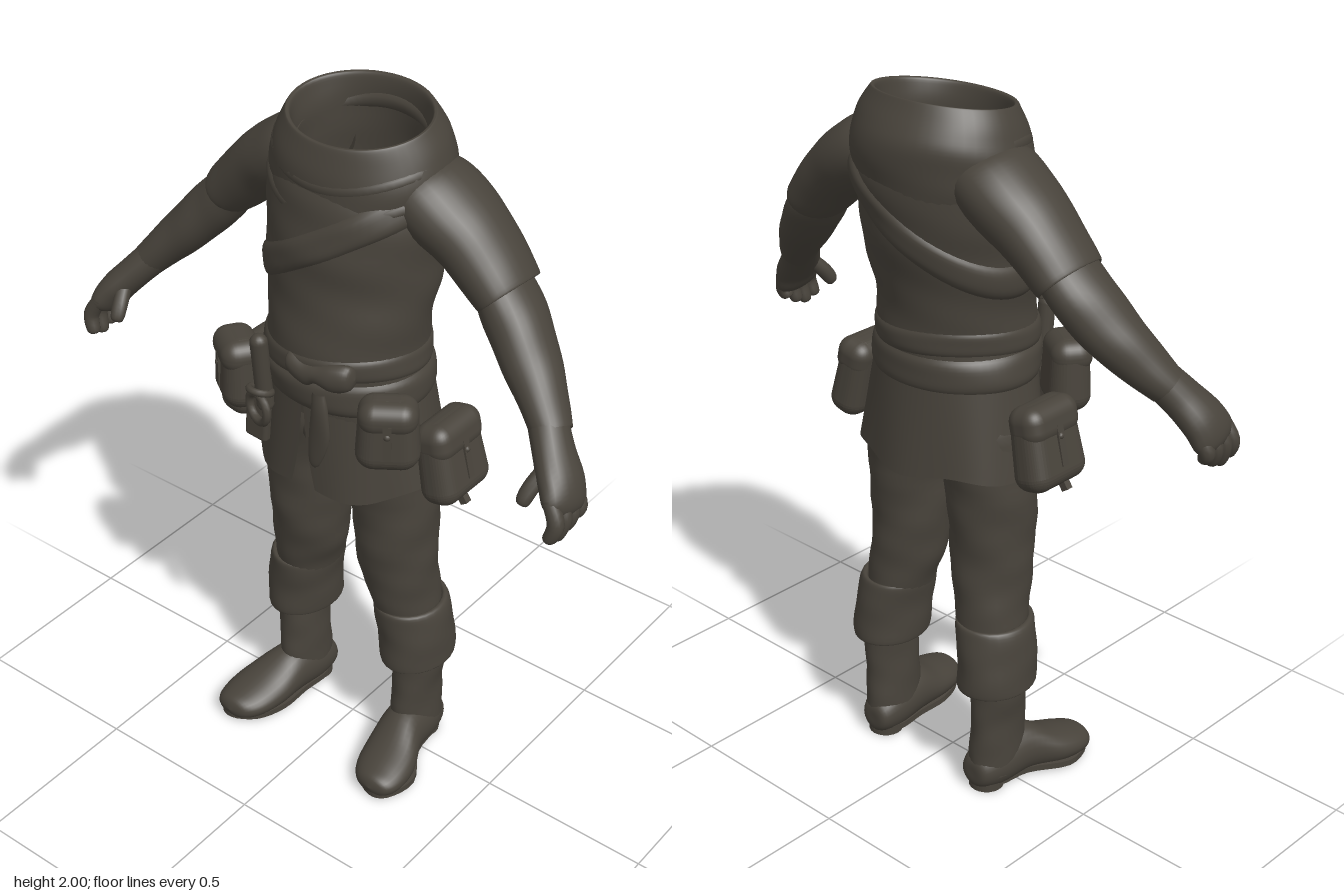
import * as THREE from 'three';
import { RoundedBoxGeometry } from 'three/addons/geometries/RoundedBoxGeometry.js';

const V = (x, y, z) => new THREE.Vector3(x, y, z);
const UP = V(0, 1, 0), X = V(1, 0, 0), Z = V(0, 0, 1);

export function createModel() {
  const model = new THREE.Group();
  const cloth = new THREE.MeshStandardMaterial({ color: 0x48433b, side: THREE.DoubleSide });
  cloth.name = 'dark brown cloth';

  const add = (name, geometry) => {
    const mesh = new THREE.Mesh(geometry, cloth);
    mesh.name = name;
    model.add(mesh);
  };

  // Adds a part and its mirror image across x = 0
  const addPair = (name, geometry) => {
    add('left ' + name, geometry);
    const g = geometry.clone().scale(-1, 1, 1);
    const idx = g.index ? g.index.array : null;
    if (idx) for (let i = 0; i < idx.length; i += 3) [idx[i], idx[i + 1]] = [idx[i + 1], idx[i]];
    else for (const a of Object.values(g.attributes)) {
      const s = a.itemSize, d = a.array;
      for (let i = 0; i < d.length; i += 3 * s) {
        for (let k = 0; k < s; k++) [d[i + k], d[i + s + k]] = [d[i + s + k], d[i + k]];
      }
    }
    add('right ' + name, g);
  };

  // Grid surface: u runs around (0..1), v runs along (0..1)
  function surface(f, nu, nv, closed = true) {
    const pos = [], index = [], cols = closed ? nu : nu + 1;
    for (let j = 0; j <= nv; j++) for (let i = 0; i < cols; i++) pos.push(...f(i / nu, j / nv).toArray());
    for (let j = 0; j < nv; j++) for (let i = 0; i < nu; i++) {
      const a = j * cols + i, b = j * cols + (i + 1) % cols;
      index.push(a, a + cols, b, b, a + cols, b + cols);
    }
    const g = new THREE.BufferGeometry();
    g.setAttribute('position', new THREE.Float32BufferAttribute(pos, 3));
    g.setIndex(index);
    g.computeVertexNormals();
    return g;
  }

  // Smooth interpolation of a list of section rows
  function sample(rows, t) {
    const n = rows.length - 1, s = Math.min(t * n, n - 1e-6), i = Math.floor(s), f = s - i;
    const r = k => rows[Math.max(0, Math.min(n, k))];
    return rows[0].map((_, c) => {
      const [a, b, d, e] = [r(i - 1)[c], r(i)[c], r(i + 1)[c], r(i + 2)[c]];
      return b + 0.5 * f * (d - a + f * (2 * a - 5 * b + 4 * d - e + f * (3 * (b - d) + e - a)));
    });
  }

  // Loft through ellipses [x, y, z, a, b]; wrinkle folds the cloth
  function loft(rows, { axis = null, ref = Z, n = 28, steps = 6, wrinkle = 0, floor = -1 } = {}) {
    return surface((u, v) => {
      const [x, y, z, a, b] = sample(rows, v), th = u * Math.PI * 2;
      const p = sample(rows, Math.max(0, v - 0.02)), q = sample(rows, Math.min(1, v + 0.02));
      const t = axis ? axis.clone() : V(q[0] - p[0], q[1] - p[1], q[2] - p[2]);
      t.normalize();
      const e1 = t.clone().cross(ref).normalize(), e2 = e1.clone().cross(t);
      const w = 1 + wrinkle * (Math.sin(3 * th + 34 * (y + x * 0.6)) + 0.6 * Math.sin(2 * th - 61 * y + 1));
      const o = V(x, y, z).addScaledVector(e1, Math.max(0, a) * w * Math.cos(th))
        .addScaledVector(e2, Math.max(0, b) * w * Math.sin(th));
      o.y = Math.max(o.y, floor);
      return o;
    }, n, (rows.length - 1) * steps);
  }

  // Tunic body; the same surface carries the belt and the strap
  const body = [[1.2, 0.232, 0.012, 0.2], [1.32, 0.222, 0.018, 0.203], [1.44, 0.222, 0.012, 0.2],
    [1.56, 0.236, -0.008, 0.205], [1.68, 0.246, -0.02, 0.213], [1.8, 0.24, -0.035, 0.212], [1.92, 0.18, -0.03, 0.16]];
  const onBody = (y, th, off = 0) => {
    const [, rx, cz, rz] = sample(body, (y - 1.2) / 0.72);
    const w = 1 + 0.009 * Math.sin(2 * th + 26 * y) + 0.007 * Math.sin(3 * th - 47 * y);
    return V((rx * w + off) * Math.cos(th), y, cz + (rz * w + off) * Math.sin(th));
  };
  add('tunic body', surface((u, v) => onBody(1.2 + 0.68 * v, u * Math.PI * 2), 56, 40));

  // Band lying on the tunic around a centre line y(th)
  const band = (yOf, half, off) => surface((u, v) => {
    const th = u * Math.PI * 2, s = 2 * v - 1;
    return onBody(yOf(th) + s * half, th, off * (1 - s ** 4) - 0.003);
  }, 64, 10);
  add('belt', band(() => 1.27, 0.05, 0.014));
  add('waist fold', band(th => 1.35 + 0.01 * Math.sin(th * 2), 0.035, 0.009));
  add('shoulder strap', band(th => 1.675 + 0.15 * Math.cos(th), 0.05, 0.014));

  // Skirt of the tunic, split at the front
  add('tunic skirt', surface((u, v) => {
    const k = 1 - v, gap = 0.015 + 0.13 * k * k;
    const th = Math.PI / 2 + gap + u * (Math.PI * 2 - 2 * gap);
    const w = 1 + 0.02 * k * Math.sin(7 * th);
    const hem = 0.985 - 0.025 * Math.max(0, Math.sin(th)) + 0.01 * Math.sin(5 * th);
    return V((0.23 + 0.047 * k) * w * Math.cos(th), hem + (1.26 - hem) * v, 0.012 - 0.01 * k + (0.2 + 0.017 * k) * w * Math.sin(th));
  }, 64, 12, false));

  // Cowl: outer drape, thin rim and hollow inside
  add('cowl', loft([[0, 1.67, -0.034, 0.225, 0.202], [0, 1.77, -0.04, 0.243, 0.213], [0, 1.85, -0.042, 0.25, 0.215],
    [0, 1.91, -0.036, 0.235, 0.2], [0, 1.965, -0.03, 0.205, 0.176], [0, 1.974, -0.03, 0.196, 0.167], [0, 1.96, -0.03, 0.186, 0.157],
    [0, 1.88, -0.032, 0.178, 0.152], [0, 1.74, -0.034, 0.185, 0.16]], { axis: V(0, 1, 0.15), n: 48, wrinkle: 0.007 }));
  // Scarf folds sagging at the front, sunk into the cowl at the back
  for (const [y, r, sag] of [[1.82, 0.226, 0.06], [1.885, 0.214, 0.045]]) {
    const pts = [];
    for (let i = 0; i < 20; i++) {
      const th = i / 20 * Math.PI * 2, s = Math.sin(th);
      pts.push(V(r * Math.cos(th), y - sag * s * Math.abs(s), -0.035 + (r - (s > 0 ? 0.036 : 0.05)) * s));
    }
    add('scarf fold', new THREE.TubeGeometry(new THREE.CatmullRomCurve3(pts, true), 64, 0.027, 10, true));
  }

  // Arms: sleeve, forearm and gloved hand
  addPair('sleeve', loft([[0.13, 1.845, -0.055, 0.07, 0.11], [0.19, 1.813, -0.058, 0.097, 0.13], [0.265, 1.76, -0.06, 0.1, 0.132],
    [0.345, 1.702, -0.06, 0.09, 0.118], [0.435, 1.614, -0.055, 0.076, 0.108], [0.441, 1.608, -0.054, 0.068, 0.098],
    [0.42, 1.63, -0.055, 0.055, 0.085]], { axis: V(0.72, -0.69, 0.05), wrinkle: 0.01 }));
  addPair('forearm', loft([[0.4, 1.65, -0.055, 0.06, 0.09], [0.475, 1.562, -0.038, 0.07, 0.095], [0.555, 1.47, -0.002, 0.066, 0.084],
    [0.62, 1.4, 0.035, 0.056, 0.068], [0.665, 1.35, 0.065, 0.048, 0.056]], { wrinkle: 0.016 }));
  addPair('palm', loft([[0.645, 1.37, 0.055, 0.048, 0.054], [0.69, 1.318, 0.09, 0.046, 0.06], [0.738, 1.26, 0.122, 0.044, 0.072],
    [0.762, 1.21, 0.142, 0.033, 0.068], [0.768, 1.185, 0.15, 0, 0]], { n: 20 }));
  const finger = (...p) => loft([[...p[0], 0.02, 0.021], [...p[1], 0.022, 0.022], [...p[2], 0.017, 0.018],
    [...p[2].map((c, i) => c + 0.18 * (p[2][i] - p[1][i])), 0, 0]], { n: 12, steps: 5 });
  for (let i = 0; i < 4; i++) {
    const z = 0.083 + 0.034 * i, drop = [0.03, 0.01, 0, 0.01][i];
    addPair('finger', finger([0.745, 1.25, z], [0.774, 1.195, z + 0.01], [0.762, 1.138 + drop, z + 0.018]));
  }
  addPair('thumb', finger([0.7, 1.3, 0.125], [0.682, 1.25, 0.172], [0.675, 1.215, 0.196]));

  // Legs: trousers, seat, turned-down cuffs and boots
  addPair('trouser leg', loft([[0.185, 0.42, -0.035, 0.08, 0.1], [0.175, 0.52, -0.025, 0.092, 0.106], [0.158, 0.62, -0.012, 0.106, 0.112],
    [0.15, 0.75, -0.002, 0.115, 0.12], [0.147, 0.92, -0.005, 0.122, 0.13], [0.125, 1.08, -0.003, 0.13, 0.15],
    [0.1, 1.2, 0, 0.11, 0.15]], { axis: UP, wrinkle: 0.016 }));
  add('trouser seat', new THREE.SphereGeometry(1, 32, 16).scale(0.2, 0.1, 0.145).translate(0, 1.08, -0.003));
  addPair('boot cuff', loft([[0.208, 0.4, -0.035, 0.068, 0.09], [0.208, 0.345, -0.035, 0.088, 0.112], [0.205, 0.338, -0.038, 0.1, 0.123],
    [0.2, 0.43, -0.034, 0.102, 0.12], [0.187, 0.515, -0.028, 0.102, 0.117], [0.182, 0.528, -0.027, 0.09, 0.106],
    [0.18, 0.51, -0.027, 0.08, 0.1]], { axis: UP, wrinkle: 0.012 }));
  addPair('boot shaft', loft([[0.207, 0.05, -0.05, 0.064, 0.08], [0.207, 0.13, -0.037, 0.063, 0.093], [0.208, 0.22, -0.036, 0.062, 0.09],
    [0.214, 0.32, -0.04, 0.068, 0.09], [0.21, 0.42, -0.04, 0.07, 0.09]], { axis: UP, wrinkle: 0.014 }));
  addPair('boot foot', loft([[0.2, 0.06, -0.132, 0, 0], [0.2, 0.06, -0.124, 0.045, 0.044], [0.206, 0.07, -0.06, 0.075, 0.066],
    [0.216, 0.078, 0.04, 0.078, 0.07], [0.24, 0.055, 0.13, 0.058, 0.085], [0.253, 0.044, 0.205, 0.044, 0.078],
    [0.26, 0.042, 0.25, 0.03, 0.05], [0.261, 0.042, 0.264, 0, 0]], { axis: Z, ref: X, floor: 0.012 }));
  // Sole and heel under each boot
  const sole = new THREE.Shape(new THREE.SplineCurve([[0.2, -0.125], [0.25, -0.07], [0.268, 0.03], [0.332, 0.14], [0.31, 0.235],
    [0.258, 0.258], [0.19, 0.215], [0.156, 0.13], [0.155, 0.03], [0.15, -0.07], [0.2, -0.125]].map(p => new THREE.Vector2(p[0], -p[1]))).getPoints(40));
  addPair('boot sole', new THREE.ExtrudeGeometry(sole, { depth: 0.018, bevelEnabled: false }).rotateX(-Math.PI / 2).translate(0, 0.01, 0));
  addPair('boot heel', new THREE.CylinderGeometry(0.05, 0.05, 0.03, 20).translate(0.202, 0.015, -0.075));

  // Pouch: body bulging towards the bottom, flap, button and strap
  function pouch(name, w, h, d, place) {
    const box = new RoundedBoxGeometry(w, h, d, 5, d * 0.42), p = box.attributes.position;
    for (let i = 0; i < p.count; i++) {
      const k = 1.03 - 0.16 * (p.getY(i) / h + 0.5) ** 2;
      p.setX(i, p.getX(i) * k);
      p.setZ(i, p.getZ(i) * k);
    }
    box.computeVertexNormals();
    addPair(name + ' body', place(box));
    addPair(name + ' flap', place(new RoundedBoxGeometry(w * 0.95, h * 0.45, d, 4, d * 0.38).translate(0, h * 0.27, 0.004)));
    addPair(name + ' button', place(new THREE.SphereGeometry(0.01, 12, 8).translate(0, h * 0.1, d * 0.5)));
    addPair(name + ' strap', place(new THREE.BoxGeometry(0.022, h * 0.5, 0.008).translate(0, 0, d * 0.505)));
  }
  pouch('front pouch', 0.165, 0.205, 0.115, g => g.rotateY(0.6).translate(0.248, 1.228, 0.172));
  pouch('hip pouch', 0.205, 0.235, 0.11, g => g.rotateX(-0.22).rotateY(Math.PI / 2).translate(0.328, 1.1, 0.005));
  addPair('pouch tail', new THREE.BoxGeometry(0.022, 0.05, 0.02).rotateZ(0.6).translate(0.378, 0.998, 0.02));

  // Knotted cloth, hanging strap end and tool on the belt
  add('belt roll', loft([[-0.045, 1.35, 0.21, 0, 0], [-0.035, 1.35, 0.212, 0.03, 0.024], [0.02, 1.335, 0.214, 0.034, 0.028],
    [0.055, 1.345, 0.216, 0.026, 0.024], [0.1, 1.345, 0.205, 0.04, 0.03], [0.14, 1.35, 0.19, 0.034, 0.026], [0.152, 1.35, 0.185, 0, 0]],
    { axis: X, n: 18 }));
  add('strap end', loft([[0.045, 1.05, 0.222, 0, 0], [0.047, 1.07, 0.222, 0.018, 0.008], [0.062, 1.15, 0.222, 0.033, 0.011],
    [0.065, 1.24, 0.222, 0.026, 0.014], [0.06, 1.29, 0.22, 0.02, 0.01]], { axis: UP, n: 16 }));
  add('tool handle', new THREE.CapsuleGeometry(0.024, 0.2, 6, 14).rotateX(0.1).translate(-0.135, 1.27, 0.212));
  add('tool ring', new THREE.TorusGeometry(0.042, 0.012, 8, 24).rotateY(-0.3).translate(-0.135, 1.17, 0.232));
  add('tool loop', new THREE.TorusGeometry(0.03, 0.01, 8, 20).rotateX(1.2).translate(-0.135, 1.22, 0.222));
  add('tool sheath', new RoundedBoxGeometry(0.075, 0.16, 0.03, 3, 0.012).rotateZ(-0.08).translate(-0.165, 1.12, 0.195));

  return model;
}
